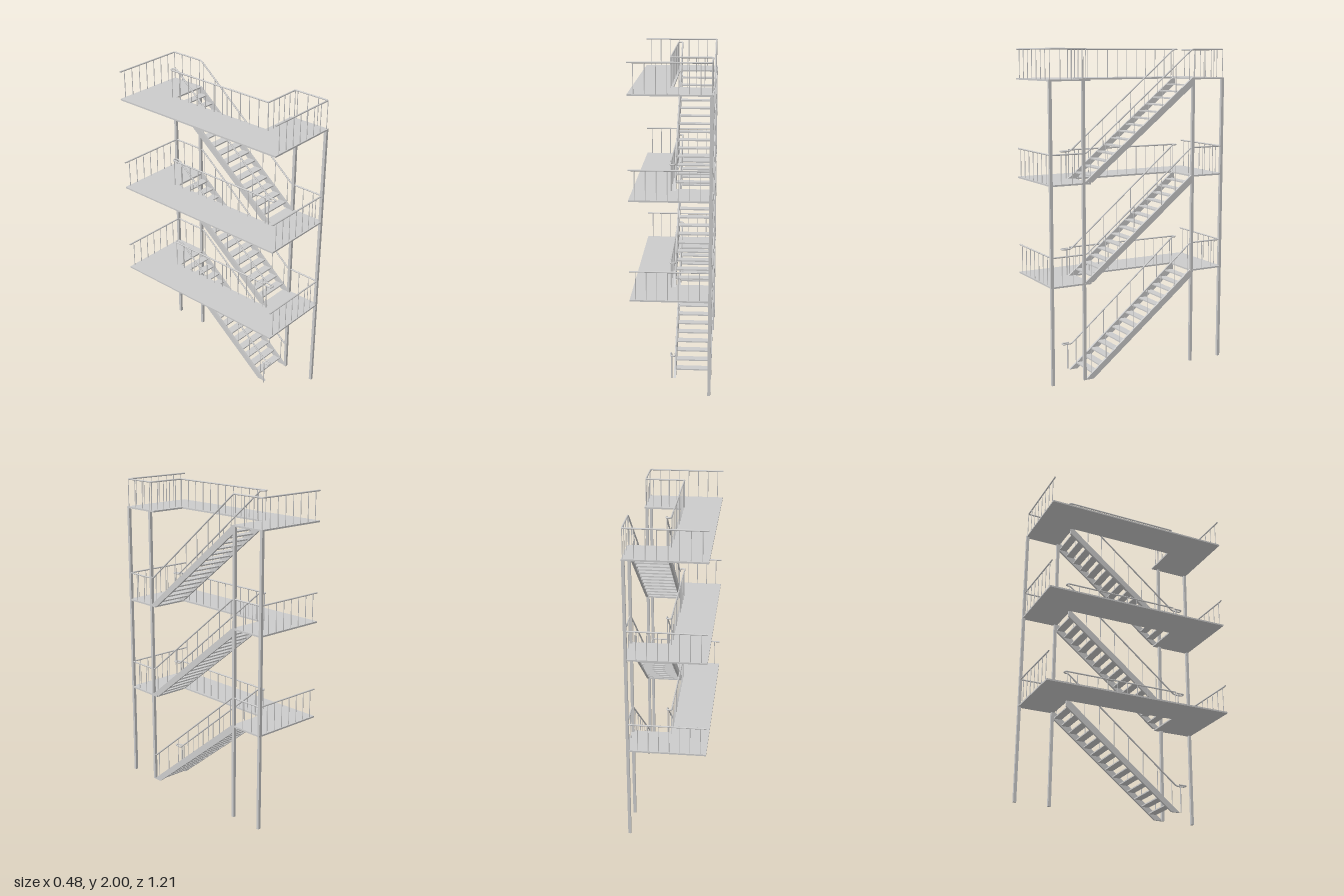
import * as THREE from 'three';

const H = 0.607;       // storey height
const RAIL = 0.174;    // handrail height above floor
const XO = 0.23, XL = -0.242, ZE = 0.598; // outer side, open edge, end edges
const XG = -0.014, XI = 0.014;            // landing guard and inner stair rail
const ZS = 0.37;       // stair rail half length

const mat = new THREE.MeshStandardMaterial({ color: 0xcccccc, side: THREE.DoubleSide });
const V = (x, y, z) => new THREE.Vector3(x, y, z);

function add(parent, name, geometry, x = 0, y = 0, z = 0) {
  const mesh = new THREE.Mesh(geometry, mat);
  mesh.name = name;
  mesh.position.set(x, y, z);
  parent.add(mesh);
  return mesh;
}

// Round handrail along a polyline with softened corners
function handrail(parent, points, corner = 0.014) {
  const tube = (curve, n) => add(parent, 'handrail', new THREE.TubeGeometry(curve, n, 0.005, 8));
  let from = points[0];
  for (let i = 1; i < points.length; i++) {
    const p = points[i], next = points[i + 1];
    if (!next) { tube(new THREE.LineCurve3(from, p), 1); break; }
    const r = Math.min(corner, p.distanceTo(points[i - 1]) * 0.45, p.distanceTo(next) * 0.45);
    const a = p.clone().add(points[i - 1].clone().sub(p).setLength(r));
    const b = p.clone().add(next.clone().sub(p).setLength(r));
    tube(new THREE.LineCurve3(from, a), 1);
    tube(new THREE.QuadraticBezierCurve3(a, p, b), 5);
    from = b;
  }
}

function baluster(parent, x, z, y0, y1) {
  add(parent, 'baluster', new THREE.CylinderGeometry(0.0025, 0.0025, y1 - y0, 6), x, (y0 + y1) / 2, z);
}

// Evenly spaced balusters on a level run
function balusters(parent, x0, z0, x1, z1, floor, pitch = 0.066) {
  const n = Math.round(Math.hypot(x1 - x0, z1 - z0) / pitch);
  for (let i = 0; i <= n; i++) {
    const t = i / n;
    baluster(parent, x0 + (x1 - x0) * t, z0 + (z1 - z0) * t, floor, floor + RAIL);
  }
}

// C-shaped landing slab, open above the flight
function landing(floor) {
  const g = new THREE.Group();
  g.name = 'landing';
  const outline = [[XL, 0.605], [0.238, 0.605], [0.238, 0.34], [0, 0.34],
    [0, -0.37], [0.238, -0.37], [0.238, -0.605], [XL, -0.605]];
  const shape = new THREE.Shape(outline.map(([x, z]) => new THREE.Vector2(x, -z)));
  const geo = new THREE.ExtrudeGeometry(shape, { depth: 0.01, bevelEnabled: false });
  geo.rotateX(-Math.PI / 2);
  add(g, 'floorSlab', geo, 0, floor - 0.01, 0);
  // End, side and inner guards
  for (const s of [1, -1]) {
    balusters(g, XL + 0.035, s * ZE, XO, s * ZE, floor);
    balusters(g, XO, s * (ZE - 0.066), XO, s * 0.385, floor);
  }
  balusters(g, XG, 0.365, XG, -0.385, floor);
  return g;
}

// One flight rising towards the back
function flight(base, ground) {
  const g = new THREE.Group();
  g.name = 'flight';
  const foot = 0.383, slope = H / (foot + 0.37);
  const nosing = z => base + (foot - z) * slope;
  const railY = z => base + RAIL + (ZS - z) * H / (2 * ZS);

  // Stringers, profile drawn in (-z, y)
  const d = 0.045, end = -0.38;
  const profile = new THREE.Shape([
    new THREE.Vector2(-foot, 0), new THREE.Vector2(-(foot - d / slope), 0),
    new THREE.Vector2(-end, H - d), new THREE.Vector2(-end, H),
    new THREE.Vector2(0.37, H)]);
  for (const x of [0.002, 0.222]) {
    const geo = new THREE.ExtrudeGeometry(profile, { depth: 0.014, bevelEnabled: false });
    geo.rotateY(Math.PI / 2);
    add(g, 'stringer', geo, x, base, 0);
  }

  // Treads
  for (let i = 1; i <= 14; i++)
    add(g, 'tread', new THREE.BoxGeometry(0.208, 0.008, 0.0505),
      0.119, base + i * H / 15 - 0.004, 0.31 - (i - 1) * 0.0503);

  // Stair balusters
  for (const x of [XI, XO])
    for (let i = 0; i < 8; i++) {
      const z = 0.338 - i * 0.0985;
      baluster(g, x, z, nosing(z), railY(z));
    }

  // Outer handrail, running on round the landings at both ends
  const low = base + RAIL, high = low + H;
  const outer = [V(XL, high, -ZE), V(XO, high, -ZE), V(XO, high, -ZS), V(XO, low, ZS)];
  if (ground) outer.push(V(XO, low, 0.39));
  else outer.push(V(XO, low, ZE), V(XL, low, ZE));
  handrail(g, outer);

  // Inner handrail: loop at the head, return curl at the foot
  const curlY = base + 0.168;
  const inner = [V(XG, high, 0.365), V(XG, high, -0.398), V(XI, high, -0.398),
    V(XI, high, -ZS), V(XI, curlY, ZS), V(XI, curlY, 0.425), V(XG, curlY, 0.425),
    V(XG, curlY, 0.375)];
  handrail(g, inner);
  add(g, 'footPost', new THREE.CylinderGeometry(0.004, 0.004, 0.168, 8), XG + 0.004, base + 0.084, 0.385);
  return g;
}

export function createModel() {
  const model = new THREE.Group();
  model.name = 'externalStaircase';

  for (let k = 0; k < 3; k++) {
    model.add(flight(k * H, k === 0));
    model.add(landing((k + 1) * H));
  }

  // Guard closing the stairwell on the top storey
  const top = 3 * H, guard = new THREE.Group();
  guard.name = 'topGuard';
  const y = top + RAIL;
  handrail(guard, [V(XG, y, 0.34), V(XG, y, 0.367), V(XO, y, 0.367), V(XO, y, ZE), V(XL, y, ZE)]);
  balusters(guard, XG, 0.367, XO, 0.367, top, 0.05);
  model.add(guard);

  // Columns
  for (const z of [0.598, 0.385, -0.38, -0.598])
    add(model, 'column', new THREE.BoxGeometry(0.018, top, 0.018), 0.228, top / 2, z);

  return model;
}
